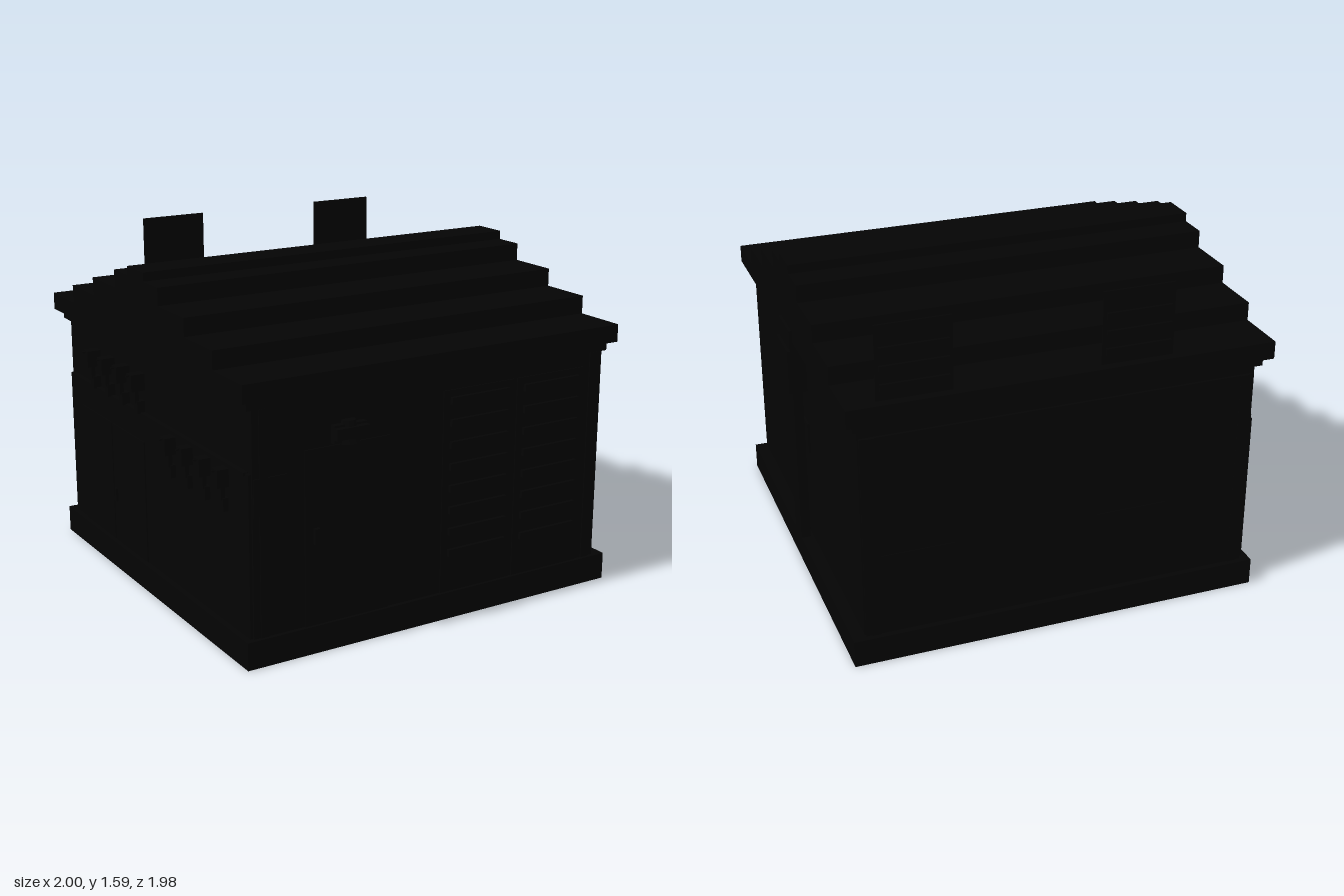
import * as THREE from 'three';

export function createModel() {
  const group = new THREE.Group();
  const black = new THREE.MeshStandardMaterial({ color: 0x040404 });
  black.name = 'black';

  function add(name, geometry) {
    const mesh = new THREE.Mesh(geometry, black);
    mesh.name = name;
    group.add(mesh);
    return mesh;
  }
  // Box given by its limits on each axis
  function box(name, x0, x1, y0, y1, z0, z1) {
    const mesh = add(name, new THREE.BoxGeometry(x1 - x0, y1 - y0, z1 - z0));
    mesh.position.set((x0 + x1) / 2, (y0 + y1) / 2, (z0 + z1) / 2);
    return mesh;
  }

  // Plinth, walls and cornice
  box('plinth', -0.957, 0.973, 0, 0.127, -0.973, 0.952);
  box('walls', -0.917, 0.915, 0.127, 1.18, -0.932, 0.934);
  box('backCladding', -0.91, 0.91, 0.127, 1.09, -0.945, -0.932);
  box('sideCladding', -0.93, -0.917, 0.127, 0.855, -0.925, 0.925);
  box('cornice', -0.943, 0.94, 1.13, 1.173, -0.955, 0.938);

  // Stepped roof, extruded along x
  const steps = [[0.973, -0.99, 1.255], [0.72, -0.737, 1.34], [0.465, -0.487, 1.424],
    [0.217, -0.235, 1.506], [0.075, -0.092, 1.547]];
  const front = [], back = [];
  let y = 1.173;
  for (const [zf, zb, top] of steps) {
    front.push(new THREE.Vector2(-zf, y), new THREE.Vector2(-zf, top));
    back.unshift(new THREE.Vector2(-zb, top), new THREE.Vector2(-zb, y));
    y = top;
  }
  const roof = add('steppedRoof', new THREE.ExtrudeGeometry(
    new THREE.Shape([...front, ...back]), { depth: 1.951, bevelEnabled: false }));
  roof.rotation.y = Math.PI / 2;
  roof.position.x = -0.978;

  // Corner strips on the front and back walls
  for (const s of [-1, 1]) {
    const x = s * 0.865;
    box('frontCornerStrip', x - 0.02, x + 0.02, 0.127, 1.13, 0.934, 0.939);
    box('backCornerStrip', x - 0.02, x + 0.02, 0.127, 1.09, -0.95, -0.945);
  }

  // Front door with handle and lamp
  box('frontDoor', -0.67, -0.25, 0.127, 0.92, 0.934, 0.94);
  box('frontDoorHandle', -0.63, -0.605, 0.5, 0.57, 0.94, 0.957);
  box('lampBracket', -0.54, -0.38, 0.93, 1.01, 0.934, 0.96);
  const lamp = add('lamp', new THREE.CylinderGeometry(0.032, 0.05, 0.1, 12));
  lamp.position.set(-0.46, 0.975, 0.94);
  box('lampShade', -0.54, -0.38, 0.95, 1.0, 0.96, 0.985);
  box('frontPlate', -0.913, -0.755, 0.67, 0.835, 0.934, 0.939);

  // Louvred double gate
  for (const [x0, x1] of [[0.03, 0.41], [0.43, 0.81]]) {
    box('gateLeaf', x0, x1, 0.127, 1.07, 0.934, 0.939);
    const mid = (x0 + x1) / 2;
    for (let i = 0; i < 8; i++) {
      const sy = 0.315 + i * 0.101;
      box('louvre', mid - 0.155, mid + 0.155, sy - 0.016, sy + 0.016, 0.939, 0.954);
    }
  }

  // Side double door
  for (const z of [-0.79, -0.425]) box('sideDoor', -0.936, -0.93, 0.127, 0.72, z, z + 0.355);
  box('sideDoorHandle', -0.947, -0.936, 0.335, 0.4, -0.405, -0.385);

  // Two rows of wall insulators on the right side
  box('insulatorRail', -0.94, -0.917, 0.845, 0.86, -0.9, 0.9);
  for (const [z0, top] of [[-0.6, 1.045], [0.233, 0.835]]) {
    for (let i = 0; i < 4; i++) {
      const z = z0 + i * 0.166;
      box('insulatorArm', -0.985, -0.917, top - 0.08, top, z - 0.025, z + 0.025);
      box('insulatorPin', -1, -0.985, top - 0.012, top - 0.004, z - 0.004, z + 0.004);
      box('insulatorStem', -0.962, -0.943, top - 0.14, top - 0.08, z - 0.012, z + 0.012);
      box('insulatorFoot', -0.955, -0.917, top - 0.19, top - 0.13, z - 0.018, z + 0.018);
    }
  }

  // Downpipe with collecting box and clamp on the left side
  box('downpipe', 0.93, 0.973, 0, 1.13, -0.055, 0.07);
  box('rainwaterBox', 0.915, 0.998, 0.92, 1.13, -0.09, 0.115);
  box('gutterOutlet', 0.93, 0.985, 1.13, 1.23, -0.09, 0.1);
  box('pipeClamp', 0.915, 0.923, 0.6, 0.75, -0.09, 0.16);

  // Rear vents and the upright louvred panels above them
  for (const x of [-0.5, 0.5]) {
    box('rearVent', x, x + 0.333, 0.25, 0.52, -0.95, -0.945);
    box('uprightPanel', x, x + 0.333, 1.25, 1.59, -0.946, -0.935);
    for (let i = 0; i < 3; i++) {
      const sy = 1.315 + i * 0.082;
      box('panelSlat', x + 0.015, x + 0.318, sy - 0.016, sy + 0.016, -0.96, -0.946);
    }
  }
  return group;
}
